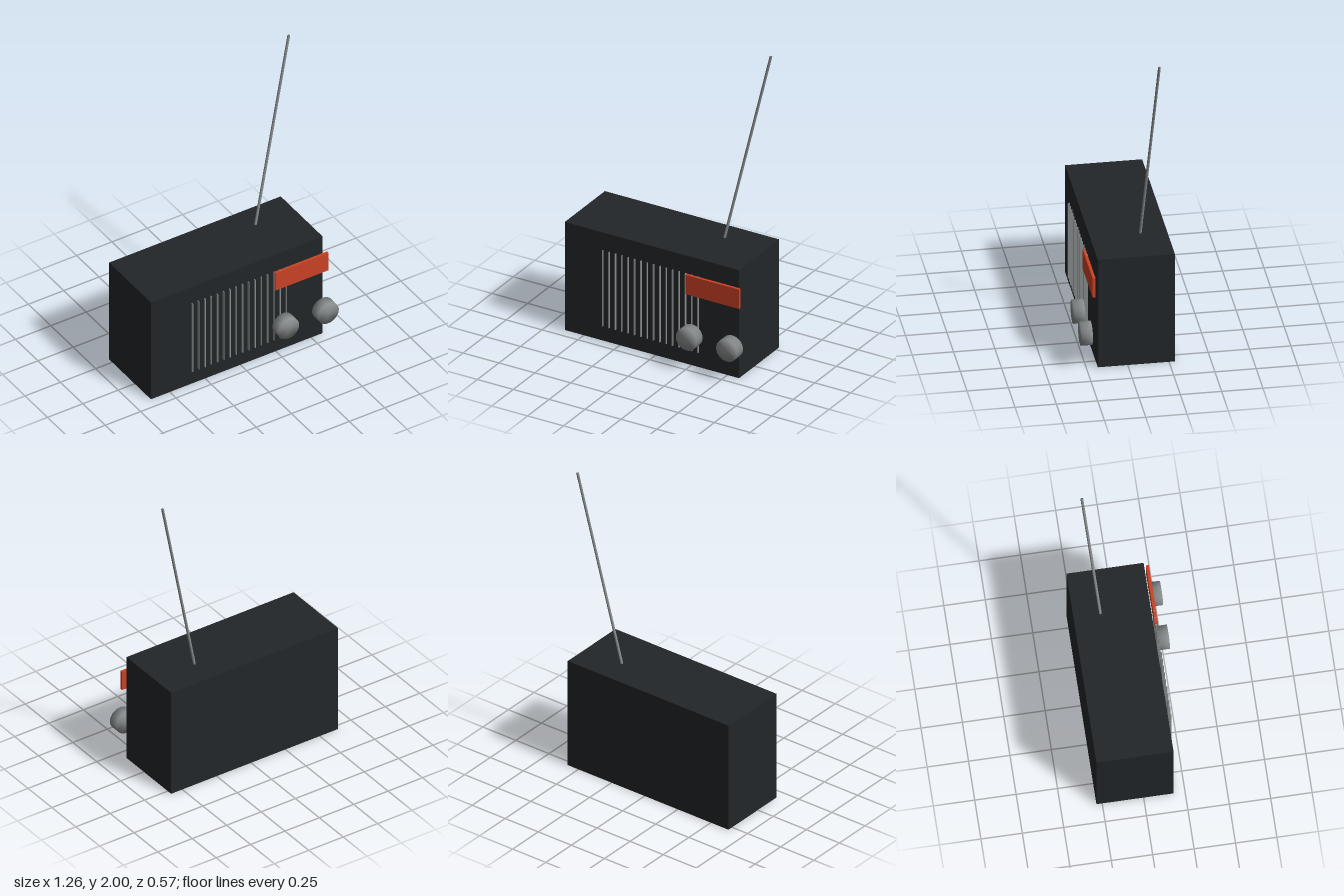
import * as THREE from 'three';
import { mergeVertices } from 'three/addons/utils/BufferGeometryUtils.js';

const material = (color) => new THREE.MeshStandardMaterial({ color });

function add(parent, name, geometry, mat, x, y, z) {
  const mesh = new THREE.Mesh(geometry, mat);
  mesh.name = name;
  mesh.position.set(x, y, z);
  parent.add(mesh);
  return mesh;
}

// Cylinder whose rim normals are shared, so it shades like a soft button
function softCylinder(radius, height, sides) {
  const geometry = new THREE.CylinderGeometry(radius, radius, height, sides);
  geometry.deleteAttribute('normal');
  geometry.deleteAttribute('uv');
  const merged = mergeVertices(geometry, 1e-4);
  merged.computeVertexNormals();
  return merged;
}

export function createModel() {
  const radio = new THREE.Group();
  radio.name = 'radio';
  const black = material(0x222629);
  const grey = material(0x888c8c);
  const red = material(0xcc4125);

  // Case
  add(radio, 'case', new THREE.BoxGeometry(1.214, 0.727, 0.466), black, -0.026, 0.3635, -0.052);

  // Speaker grille: evenly spaced upright bars
  const grille = new THREE.Group();
  grille.name = 'speakerGrille';
  radio.add(grille);
  const bar = new THREE.BoxGeometry(0.005, 0.51, 0.013);
  for (let i = 0; i < 16; i++) {
    add(grille, 'grilleBar', bar, grey, -0.355 + i * 0.0443, 0.365, 0.204);
  }

  // Tuning display
  add(radio, 'displayPanel', new THREE.BoxGeometry(0.375, 0.13, 0.018), red, 0.415, 0.552, 0.207);

  // Control knobs
  const knob = softCylinder(0.0735, 0.067, 32).rotateX(Math.PI / 2);
  for (const x of [0.276, 0.557]) add(radio, 'knob', knob, grey, x, 0.225, 0.2515);

  // Leaning antenna
  const foot = new THREE.Vector3(0.299, 0.738, -0.122);
  const tip = new THREE.Vector3(0.579, 1.998, -0.192);
  const axis = tip.clone().sub(foot);
  const middle = foot.clone().add(tip).multiplyScalar(0.5);
  const antenna = add(radio, 'antenna', softCylinder(0.0085, axis.length(), 12), grey, ...middle.toArray());
  antenna.quaternion.setFromUnitVectors(new THREE.Vector3(0, 1, 0), axis.normalize());

  return radio;
}
